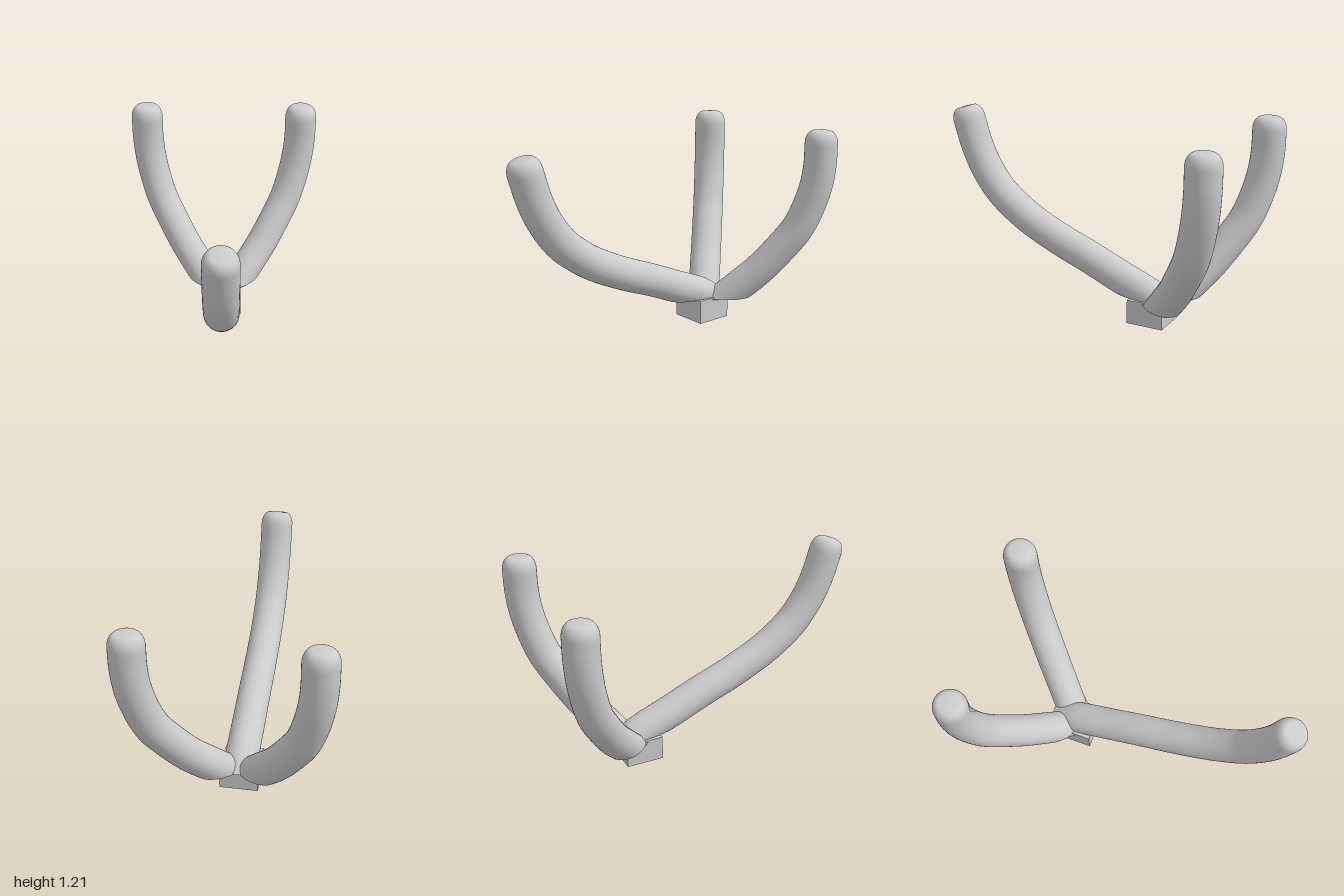
import * as THREE from 'three';
import { toCreasedNormals } from 'three/addons/utils/BufferGeometryUtils.js';

const RADIUS = 0.1, SIDES = 40, STEPS = 90, CAP_STEPS = 8;
const material = new THREE.MeshStandardMaterial({ color: 0xcccccc });

// Round arm swept along [distance, height] points, cut flat at floorY, with a rounded tip
function armGeometry(points, floorY) {
  const path = new THREE.CatmullRomCurve3(points.map(([d, y]) => new THREE.Vector3(0, y, d)));
  const positions = [], indices = [];
  let rings = 0;
  const addRing = (centre, tangent, radius) => {
    for (let j = 0; j <= SIDES; j++) {
      const a = (j % SIDES) / SIDES * Math.PI * 2;
      const n = radius * Math.sin(a);
      positions.push(
        radius * Math.cos(a),
        Math.max(floorY, centre.y + n * tangent.z),
        centre.z - n * tangent.y
      );
    }
    rings++;
  };
  for (let i = 0; i <= STEPS; i++) {
    addRing(path.getPointAt(i / STEPS), path.getTangentAt(i / STEPS), RADIUS);
  }
  // tip: rounded shoulder closing to a small flat top
  const end = path.getPointAt(1), dir = path.getTangentAt(1);
  for (let i = 1; i <= CAP_STEPS; i++) {
    const a = i / CAP_STEPS * Math.PI / 2;
    addRing(end.clone().addScaledVector(dir, 0.077 * Math.sin(a)), dir, 0.05 + 0.05 * Math.cos(a));
  }
  addRing(end.clone().addScaledVector(dir, 0.08), dir, 0);

  for (let i = 0; i < rings - 1; i++) {
    for (let j = 0; j < SIDES; j++) {
      const a = i * (SIDES + 1) + j, b = a + 1, c = a + SIDES + 1, d = c + 1;
      indices.push(a, b, c, b, d, c);
    }
  }
  const geometry = new THREE.BufferGeometry();
  geometry.setAttribute('position', new THREE.Float32BufferAttribute(positions, 3));
  geometry.setIndex(indices);
  return toCreasedNormals(geometry, 0.6);
}

export function createModel() {
  const model = new THREE.Group();
  model.name = 'threeArmedHook';

  const add = (name, geometry, x, y, z, turn = 0) => {
    const mesh = new THREE.Mesh(geometry, material);
    mesh.name = name;
    mesh.position.set(x, y, z);
    mesh.rotation.y = turn;
    model.add(mesh);
  };

  // square foot under the meeting point of the arms
  add('base', new THREE.BoxGeometry(0.23, 0.148, 0.23), 0, 0.074, -0.395);

  // long arm reaching forward
  const longArm = armGeometry([
    [-0.11, 0.065], [0.02, 0.155], [0.11, 0.195], [0.235, 0.245], [0.435, 0.33], [0.64, 0.41],
    [0.85, 0.51], [0.96, 0.58], [1.07, 0.67], [1.17, 0.8], [1.24, 0.94], [1.295, 1.11],
  ], 0.146);
  add('frontArm', longArm, 0, 0, -0.4);

  // two short arms spreading diagonally backward
  const shortArm = armGeometry([
    [0.068, 0.067], [0.21, 0.19], [0.354, 0.318], [0.474, 0.452], [0.58, 0.59],
    [0.645, 0.73], [0.687, 0.87], [0.705, 1.0], [0.707, 1.13],
  ], 0.139);
  add('leftRearArm', shortArm, 0, 0, -0.4, Math.PI * 0.75);
  add('rightRearArm', shortArm, 0, 0, -0.4, -Math.PI * 0.75);

  return model;
}
